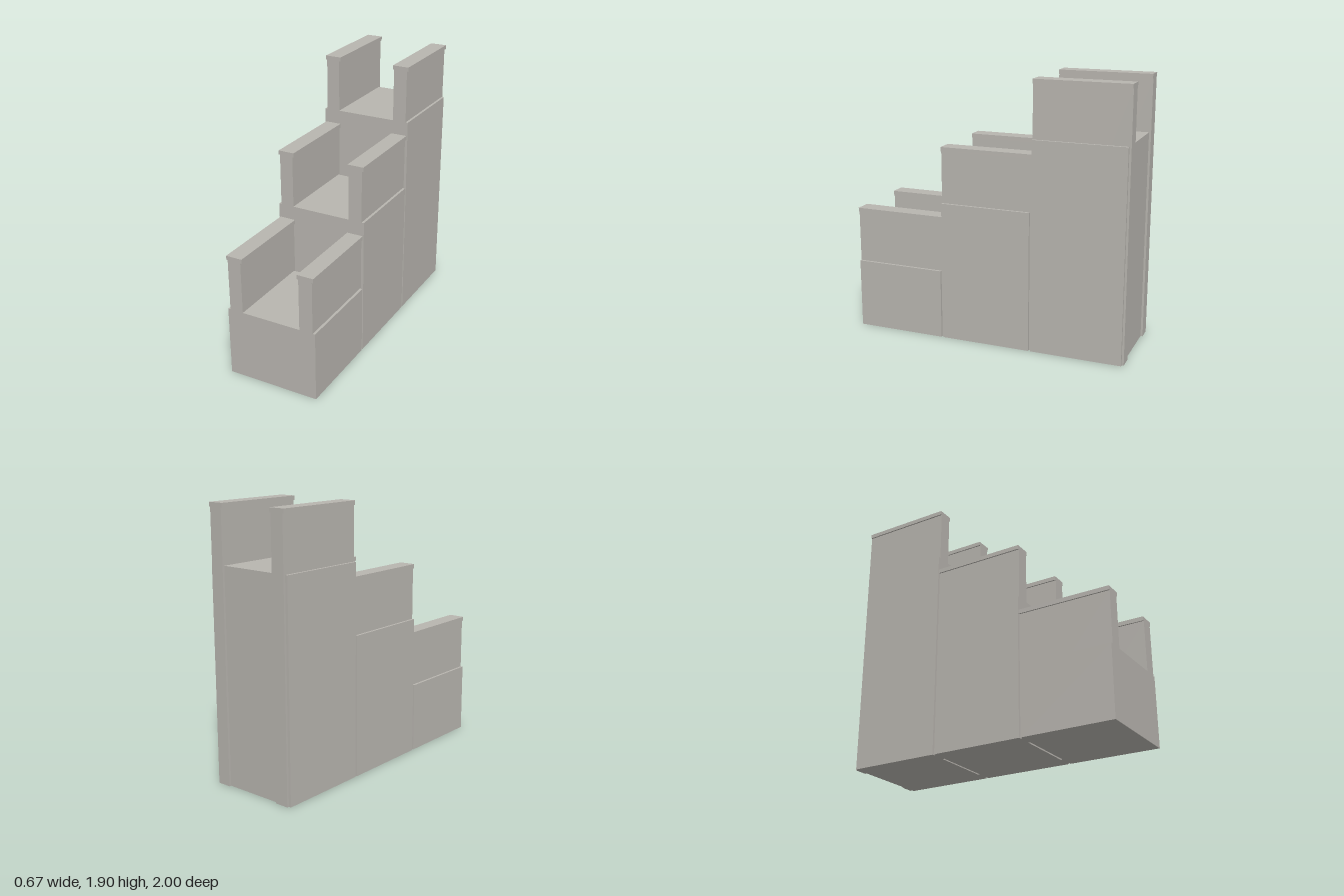
import * as THREE from 'three';

const stone = new THREE.MeshStandardMaterial({ color: 0xb8b5af });
stone.name = 'warm grey stone';

// Box given by its minimum and maximum corners
function block(name, x0, x1, y0, y1, z0, z1) {
  const mesh = new THREE.Mesh(new THREE.BoxGeometry(x1 - x0, y1 - y0, z1 - z0), stone);
  mesh.position.set((x0 + x1) / 2, (y0 + y1) / 2, (z0 + z1) / 2);
  mesh.name = name;
  return mesh;
}

export function createModel() {
  const model = new THREE.Group();
  model.name = 'steppedWall';

  const depth = 2 / 3;       // length of one step
  const coreDepth = 0.652;   // core stops short, leaving a narrow joint behind it
  const capHeight = 0.03;

  for (let i = 0; i < 3; i++) {
    const step = new THREE.Group();
    step.name = 'step' + (i + 1);
    const front = 1 - i * depth;
    const back = front - depth;
    const floor = 0.5 * (i + 1);
    const top = floor + 0.4;

    // Solid core carrying the walkway
    step.add(block('core', -0.333, 0.333, 0, floor, front - coreDepth, front));

    // Parapet walls run to the ground, each with a wider cap
    for (const [side, s] of [['left', 1], ['right', -1]]) {
      const span = (a, b) => (s > 0 ? [a, b] : [-b, -a]);
      step.add(block(side + 'Parapet', ...span(0.217, 0.315), 0, top - capHeight, back, front));
      step.add(block(side + 'Cap', ...span(0.207, 0.325), top - capHeight, top, back, front));
    }
    model.add(step);
  }
  return model;
}
